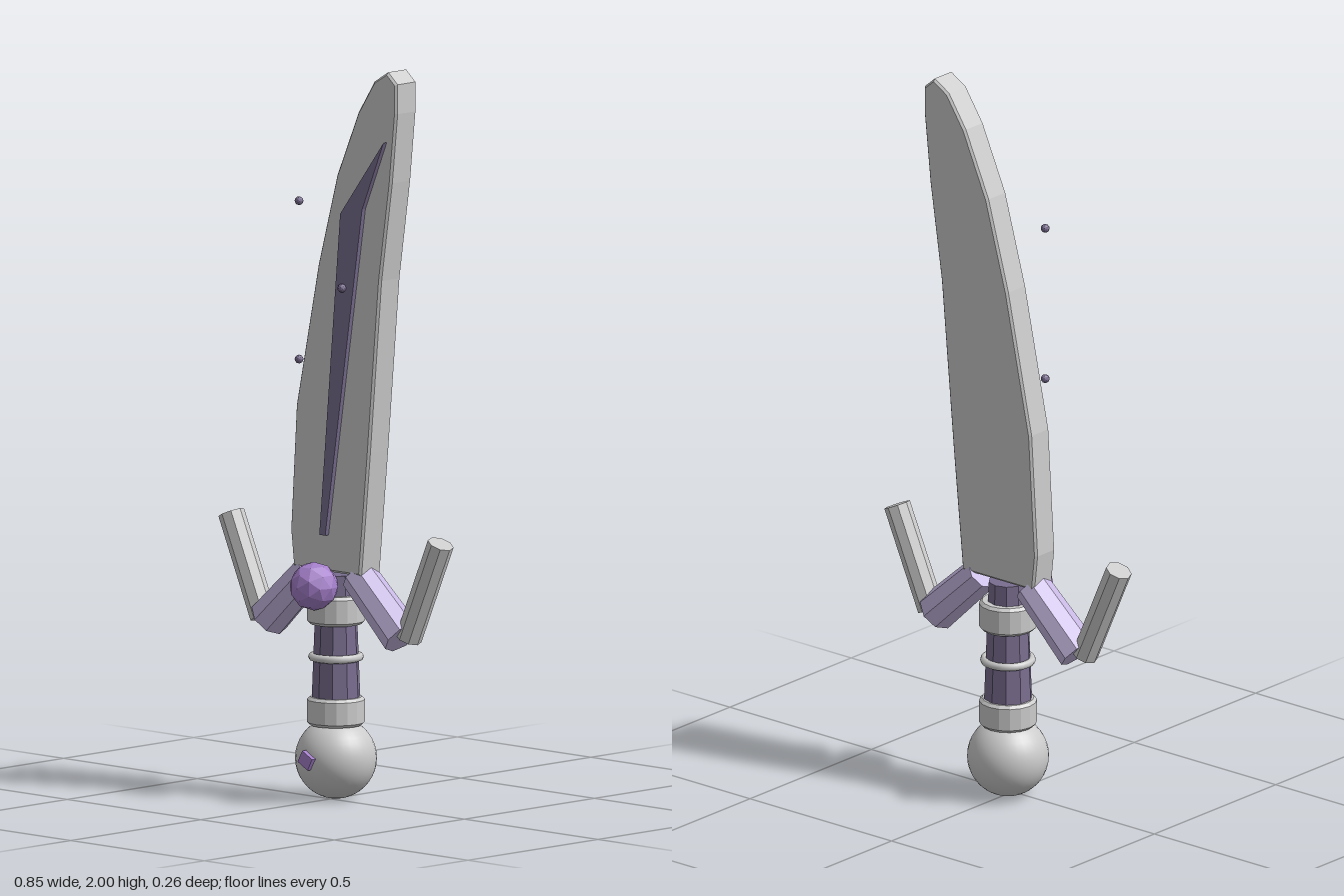
import * as THREE from 'three';

const Z = -0.02; // depth of the sword's centre plane

const material = (color, flatShading = true) => new THREE.MeshStandardMaterial({ color, flatShading });

export function createModel() {
  const sword = new THREE.Group();
  sword.name = 'sword';
  const steel = material(0xcccccc);
  const smoothSteel = material(0xcccccc, false);
  const dark = material(0x7a6e90);
  const lavender = material(0xc6b8e2);
  const violet = material(0xa680cc);

  const add = (name, geometry, mat, x = 0, y = 0, z = Z) => {
    const mesh = new THREE.Mesh(geometry, mat);
    mesh.name = name;
    mesh.position.set(x, y, z);
    sword.add(mesh);
    return mesh;
  };

  const shape = (points) => new THREE.Shape(points.map(([x, y]) => new THREE.Vector2(x, y)));

  // Cylinder running between two points of the centre plane
  const rod = (name, a, b, ra, rb, sides, mat) => {
    const dir = new THREE.Vector3(b[0] - a[0], b[1] - a[1], 0);
    const mesh = add(name, new THREE.CylinderGeometry(rb, ra, dir.length(), sides), mat,
      (a[0] + b[0]) / 2, (a[1] + b[1]) / 2);
    mesh.quaternion.setFromUnitVectors(new THREE.Vector3(0, 1, 0), dir.normalize());
    return mesh;
  };

  // Curved blade with a fine bevel
  const bladeShape = shape([
    [-0.122, 0.62], [-0.133, 0.72], [-0.112, 1.06], [-0.03, 1.45], [0.04, 1.7], [0.12, 1.88],
    [0.18, 1.97], [0.23, 2.0], [0.265, 1.97], [0.265, 1.89], [0.245, 1.7], [0.205, 1.43],
    [0.163, 0.96], [0.13, 0.62],
  ]);
  add('blade', new THREE.ExtrudeGeometry(bladeShape, {
    depth: 0.068, bevelEnabled: true, bevelThickness: 0.006, bevelSize: 0.006, bevelOffset: -0.006, bevelSegments: 1,
  }), steel, 0, 0, -0.053);

  // Dark inlay on the front of the blade
  const inlayShape = shape([[-0.01, 0.72], [0.068, 1.6], [0.23, 1.81], [0.15, 1.62], [0.012, 0.72]]);
  add('bladeInlay', new THREE.ExtrudeGeometry(inlayShape, { depth: 0.016, bevelEnabled: false }), dark, 0, 0, 0.018);

  // Small floating beads
  for (const [x, y] of [[-0.08, 1.19], [0.08, 1.4], [-0.08, 1.62]])
    add('bead', new THREE.IcosahedronGeometry(0.012, 1), dark, x, y, 0.04);

  // Guard arms and upturned prongs, mirrored
  for (const s of [-1, 1]) {
    rod('guardArm', [s * 0.25, 0.463], [s * 0.085, 0.615], 0.056, 0.05, 8, lavender);
    rod('guardProng', [s * 0.272, 0.463], [s * 0.392, 0.733], 0.036, 0.036, 8, steel);
  }

  // Faceted gem in the guard
  add('guardGem', new THREE.IcosahedronGeometry(0.066, 1), violet, 0, 0.585, 0.065);

  // Tapered grip, rings and collars
  add('grip', new THREE.CylinderGeometry(0.053, 0.067, 0.36, 10), dark, 0, 0.43);
  add('gripRing', new THREE.TorusGeometry(0.064, 0.011, 8, 24), smoothSteel, 0, 0.385).rotation.x = Math.PI / 2;
  const collar = (name, y, h) => {
    const r = 0.078, c = 0.008;
    const profile = [[0, 0], [r - c, 0], [r, c], [r, h - c], [r - c, h], [0, h]];
    add(name, new THREE.LatheGeometry(profile.map(([x, v]) => new THREE.Vector2(x, v)), 16), steel, 0, y);
  };
  collar('upperCollar', 0.475, 0.08);
  collar('lowerCollar', 0.2, 0.077);

  // Round pommel with a small stud
  add('pommel', new THREE.SphereGeometry(0.11, 32, 20), smoothSteel, 0, 0.11);
  add('pommelStud', new THREE.BoxGeometry(0.042, 0.036, 0.03), violet, 0, 0.115, 0.085).rotation.z = -0.5;

  return sword;
}
